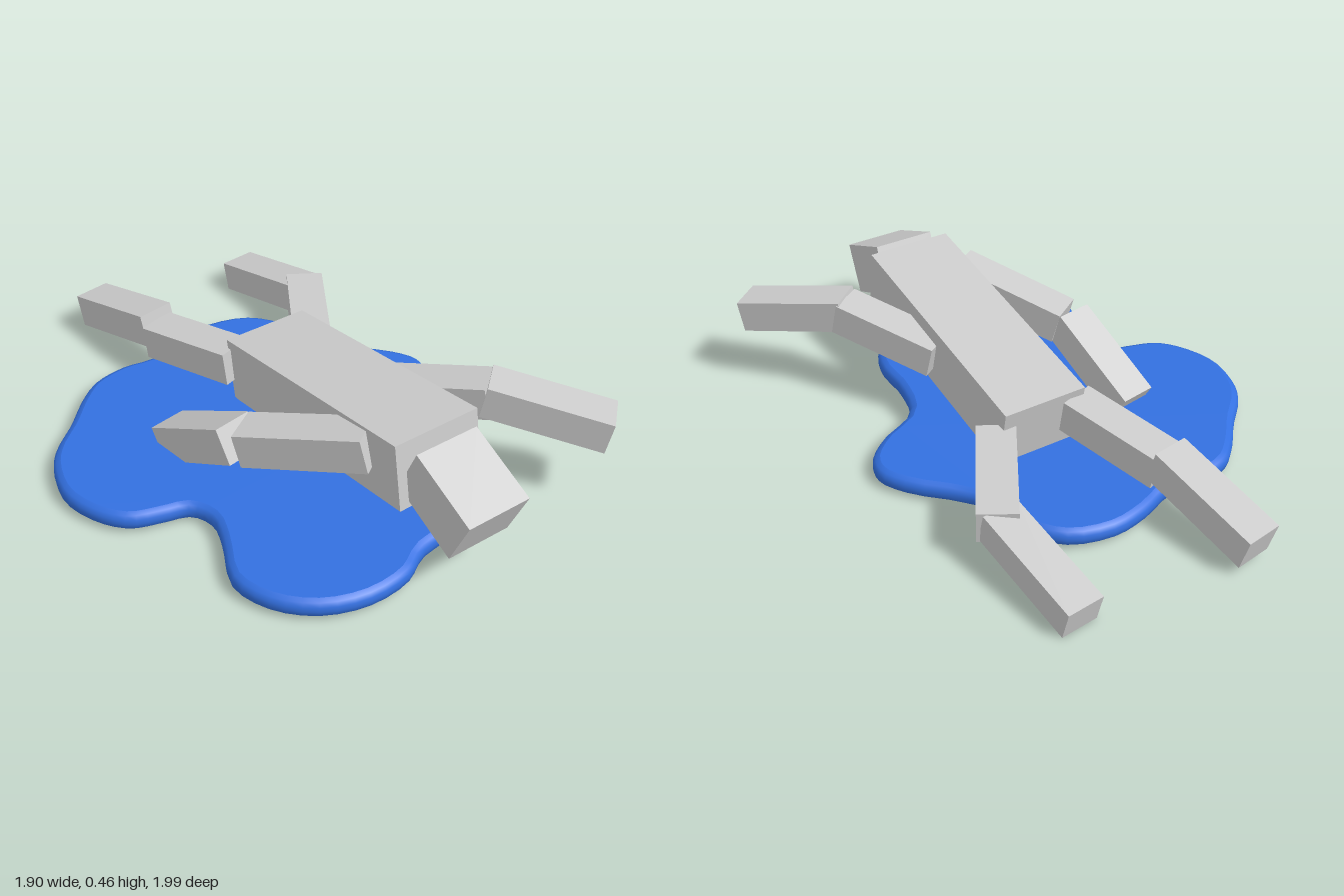
import * as THREE from 'three';

const grey = new THREE.MeshStandardMaterial({ color: 0xcccccc, flatShading: true });
const blue = new THREE.MeshStandardMaterial({ color: 0x3370e0 });

// Box whose top face runs along its centre line from one point to another
function bar(name, from, to, width, height) {
  const a = new THREE.Vector3(...from), b = new THREE.Vector3(...to);
  const axis = b.clone().sub(a);
  const length = axis.length();
  axis.normalize();
  const side = new THREE.Vector3(0, 1, 0).cross(axis).normalize();
  const up = axis.clone().cross(side);
  const mesh = new THREE.Mesh(new THREE.BoxGeometry(width, height, length), grey);
  mesh.quaternion.setFromRotationMatrix(new THREE.Matrix4().makeBasis(side, up, axis));
  mesh.position.copy(a).add(b).multiplyScalar(0.5).addScaledVector(up, -height / 2);
  mesh.name = name;
  return mesh;
}

// Two-part limb: each part is [from, to, thickness]
function limb(name, upper, lower) {
  const group = new THREE.Group();
  group.name = name;
  group.add(bar(name + 'Upper', upper[0], upper[1], 0.14, upper[2]));
  group.add(bar(name + 'Lower', lower[0], lower[1], 0.14, lower[2]));
  return group;
}

// Puddle: wavy outline lofted through rings with a rounded rim
function puddle() {
  const outline = [
    [-0.42, -0.55], [-0.26, -0.59], [-0.12, -0.54], [0.04, -0.39], [0.28, -0.32], [0.38, -0.26],
    [0.41, -0.18], [0.38, -0.06], [0.29, 0.1], [0.33, 0.26], [0.41, 0.4], [0.43, 0.52],
    [0.37, 0.67], [0.26, 0.77], [0.2, 0.87], [0.07, 0.96], [-0.09, 0.99], [-0.24, 0.95],
    [-0.35, 0.85], [-0.38, 0.67], [-0.41, 0.57], [-0.48, 0.52], [-0.57, 0.54], [-0.68, 0.56],
    [-0.79, 0.52], [-0.9, 0.42], [-0.95, 0.28], [-0.95, 0.18], [-0.91, 0.04], [-0.88, -0.1],
    [-0.84, -0.2], [-0.74, -0.29], [-0.63, -0.34], [-0.53, -0.46],
  ].map(([x, z]) => new THREE.Vector3(x, 0, z));
  const curve = new THREE.CatmullRomCurve3(outline, true);
  const n = 100;
  // height and inset of each ring, the last one repeated for a crisp flat top
  const rings = [[0.012, 0.012], [0.022, 0.002], [0.038, 0], [0.054, 0.002],
    [0.067, 0.012], [0.074, 0.028], [0.074, 0.028]];
  const positions = [], index = [], contour = [];
  rings.forEach(([y, inset], r) => {
    for (let i = 0; i < n; i++) {
      const p = curve.getPoint(i / n), t = curve.getTangent(i / n);
      positions.push(p.x - t.z * inset, y, p.z + t.x * inset);
      if (r === 0) contour.push(new THREE.Vector2(p.x, p.z));
      if (r < rings.length - 2) {
        const a = r * n + i, b = r * n + (i + 1) % n;
        index.push(a, a + n, b + n, a, b + n, b);
      }
    }
  });
  const top = (rings.length - 1) * n;
  for (const [a, b, c] of THREE.ShapeUtils.triangulateShape(contour, [])) {
    index.push(a, b, c, top + a, top + c, top + b);
  }
  const geometry = new THREE.BufferGeometry();
  geometry.setAttribute('position', new THREE.Float32BufferAttribute(positions, 3));
  geometry.setIndex(index);
  geometry.computeVertexNormals();
  const mesh = new THREE.Mesh(geometry, blue);
  mesh.name = 'puddle';
  return mesh;
}

export function createModel() {
  const model = new THREE.Group();
  model.name = 'figureOnPuddle';
  model.add(puddle());

  // Body and bowed head
  model.add(bar('torso', [-0.199, 0.305, -0.175], [0.299, 0.465, 0.651], 0.327, 0.238));
  model.add(bar('head', [0.322, 0.455, 0.706], [0.453, 0.345, 0.924], 0.237, 0.196));

  // Arms
  model.add(limb('leftArm',
    [[0.17, 0.325, 0.175], [0.525, 0.41, 0.345], 0.12],
    [[0.525, 0.42, 0.35], [0.923, 0.345, 0.48], 0.12]));
  model.add(limb('rightArm',
    [[0.09, 0.43, 0.6], [-0.305, 0.32, 0.41], 0.125],
    [[-0.33, 0.32, 0.39], [-0.56, 0.123, 0.117], 0.13]));

  // Legs
  model.add(limb('leftLeg',
    [[-0.026, 0.24, -0.22], [-0.026, 0.215, -0.655], 0.125],
    [[-0.035, 0.21, -0.62], [-0.29, 0.113, -0.963], 0.115]));
  model.add(limb('rightLeg',
    [[-0.31, 0.275, -0.09], [-0.605, 0.225, -0.355], 0.125],
    [[-0.605, 0.262, -0.37], [-0.875, 0.155, -0.695], 0.125]));
  return model;
}
